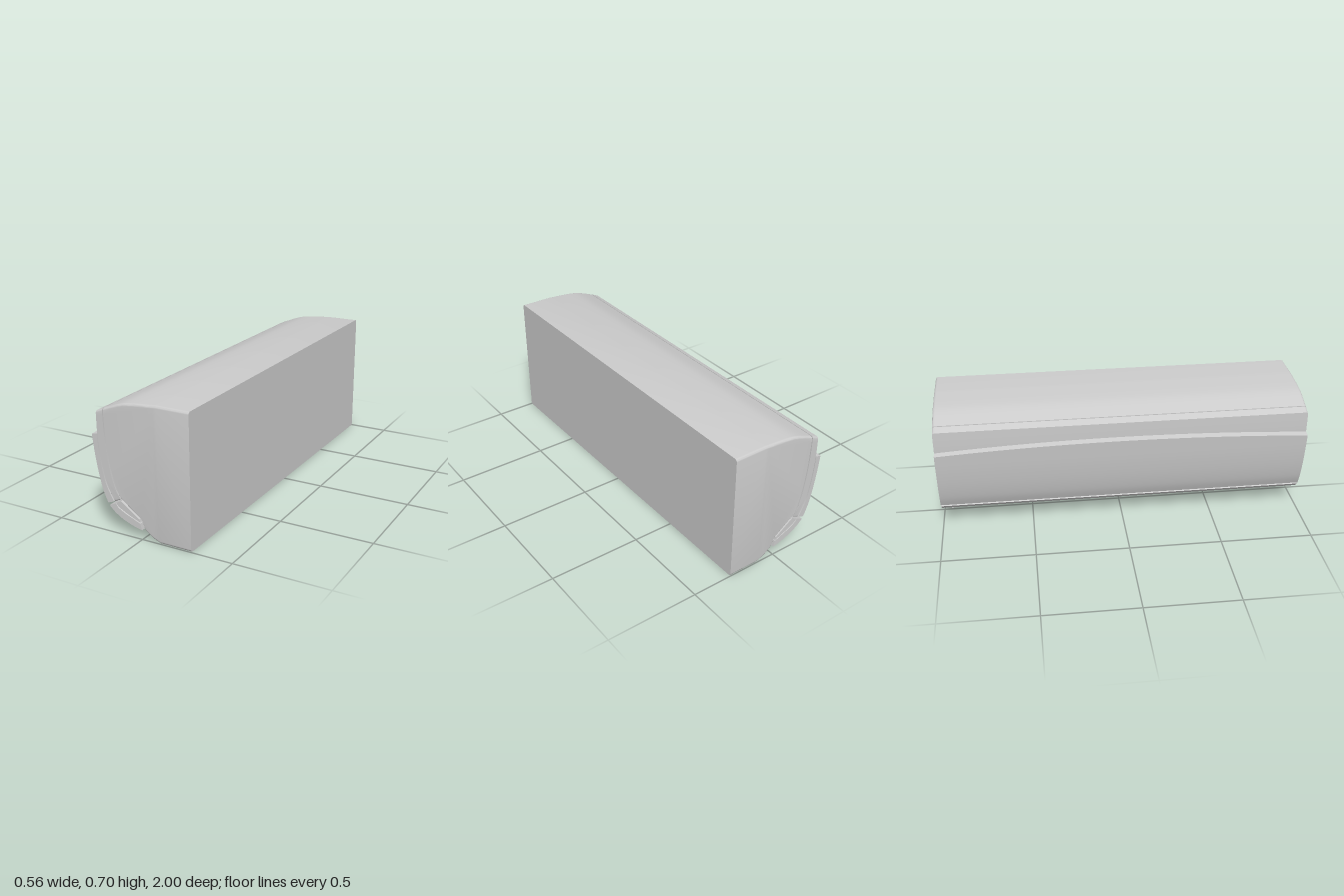
import * as THREE from 'three';
import { toCreasedNormals } from 'three/addons/utils/BufferGeometryUtils.js';

const material = new THREE.MeshStandardMaterial({ color: 0xcccccc });

// Closed side profile: each run is a list of [x, y]; runs of 3+ points are smooth curves
function profile(...runs) {
  const shape = new THREE.Shape();
  runs.forEach((run, i) => {
    const pts = run.map(([x, y]) => new THREE.Vector2(x, y));
    if (i === 0) shape.moveTo(pts[0].x, pts[0].y);
    else shape.lineTo(pts[0].x, pts[0].y);
    if (pts.length > 2) shape.splineThru(pts.slice(1));
    else if (pts.length === 2) shape.lineTo(pts[1].x, pts[1].y);
  });
  shape.closePath();
  return shape;
}

// Extrude a profile along the full length, then move vertices by a rule
function longPart(name, shape, steps, rule) {
  const geo = new THREE.ExtrudeGeometry(shape, { depth: 2, steps, bevelEnabled: false, curveSegments: 4 });
  geo.translate(0, 0, -1);
  const pos = geo.attributes.position;
  const v = new THREE.Vector3();
  for (let i = 0; rule && i < pos.count; i++) {
    rule(v.fromBufferAttribute(pos, i));
    pos.setXYZ(i, v.x, v.y, v.z);
  }
  const mesh = new THREE.Mesh(toCreasedNormals(geo, 0.6), material);
  mesh.name = name;
  return mesh;
}

// Round the top and bottom edges at both ends (9 steps: 4 per end, 1 between)
const R = 0.014;
function roundEnds(v) {
  const k = Math.round((v.z + 1) * 4.5);
  const a = (Math.min(k, 9 - k) / 4) * Math.PI / 2;
  v.z = Math.sign(v.z) * (1 - R * (1 - Math.cos(a)));
  v.y = 0.352 + (v.y - 0.352) * (1 - R * (1 - Math.sin(a)) / 0.352);
}

// Bow the top edge of the outer panel upward in the middle
function bowTop(v) {
  if (v.y < 0.49) return;
  const h = 1 - v.z * v.z;
  v.y += 0.034 * h;
  if (v.x < -0.26) v.x -= 0.004 * h;
}

export function createModel() {
  const model = new THREE.Group();
  model.name = 'wallAirConditioner';

  // Main housing: flat back, domed top, curved front and sloping underside
  model.add(longPart('housing', profile(
    [[0.278, 0], [0.278, 0.703]],
    [[0.1, 0.703], [-0.034, 0.692], [-0.108, 0.678], [-0.2, 0.643]],
    [[-0.2, 0.62], [-0.194, 0.509], [-0.181, 0.397], [-0.164, 0.304], [-0.142, 0.23], [-0.116, 0.187]],
    [[-0.002, 0.1]],
    [[0.02, 0.049], [0.06, 0.02], [0.104, 0]],
  ), 9, roundEnds));

  // Inner front panel
  model.add(longPart('innerFrontPanel', profile(
    [[-0.243, 0.624], [-0.241, 0.509], [-0.231, 0.416], [-0.216, 0.323], [-0.196, 0.245], [-0.157, 0.167]],
    [[-0.122, 0.183], [-0.15, 0.23], [-0.172, 0.304], [-0.189, 0.397], [-0.201, 0.509], [-0.205, 0.62]],
    [[-0.205, 0.641]],
  ), 9, roundEnds));

  // Outer front panel
  model.add(longPart('outerFrontPanel', profile(
    [[-0.274, 0.5], [-0.261, 0.397], [-0.2425, 0.295], [-0.22, 0.211], [-0.196, 0.154]],
    [[-0.162, 0.167], [-0.2015, 0.245], [-0.222, 0.323], [-0.237, 0.416], [-0.2445, 0.507]],
  ), 24, bowTop));

  // Lower outlet flap, inner and outer layers
  model.add(longPart('innerFlap', profile(
    [[-0.148, 0.163], [-0.131, 0.144], [-0.09, 0.122], [-0.043, 0.101], [-0.01, 0.088]],
    [[-0.015, 0.105], [-0.118, 0.178]],
  ), 1));
  model.add(longPart('outerFlap', profile(
    [[-0.189, 0.142], [-0.155, 0.111], [-0.108, 0.083], [-0.053, 0.062], [-0.001, 0.049]],
    [[-0.01, 0.083], [-0.043, 0.096], [-0.09, 0.115], [-0.136, 0.14], [-0.151, 0.159]],
  ), 1));

  // Three small studs under the flap near one end
  [[-0.163, 0.119], [-0.148, 0.108], [-0.132, 0.098]].forEach(([x, y]) => {
    const stud = new THREE.Mesh(new THREE.CylinderGeometry(0.005, 0.005, 0.012, 12), material);
    stud.name = 'flapStud';
    stud.position.set(x, y, -0.94);
    stud.rotation.z = -0.6;
    model.add(stud);
  });

  return model;
}
